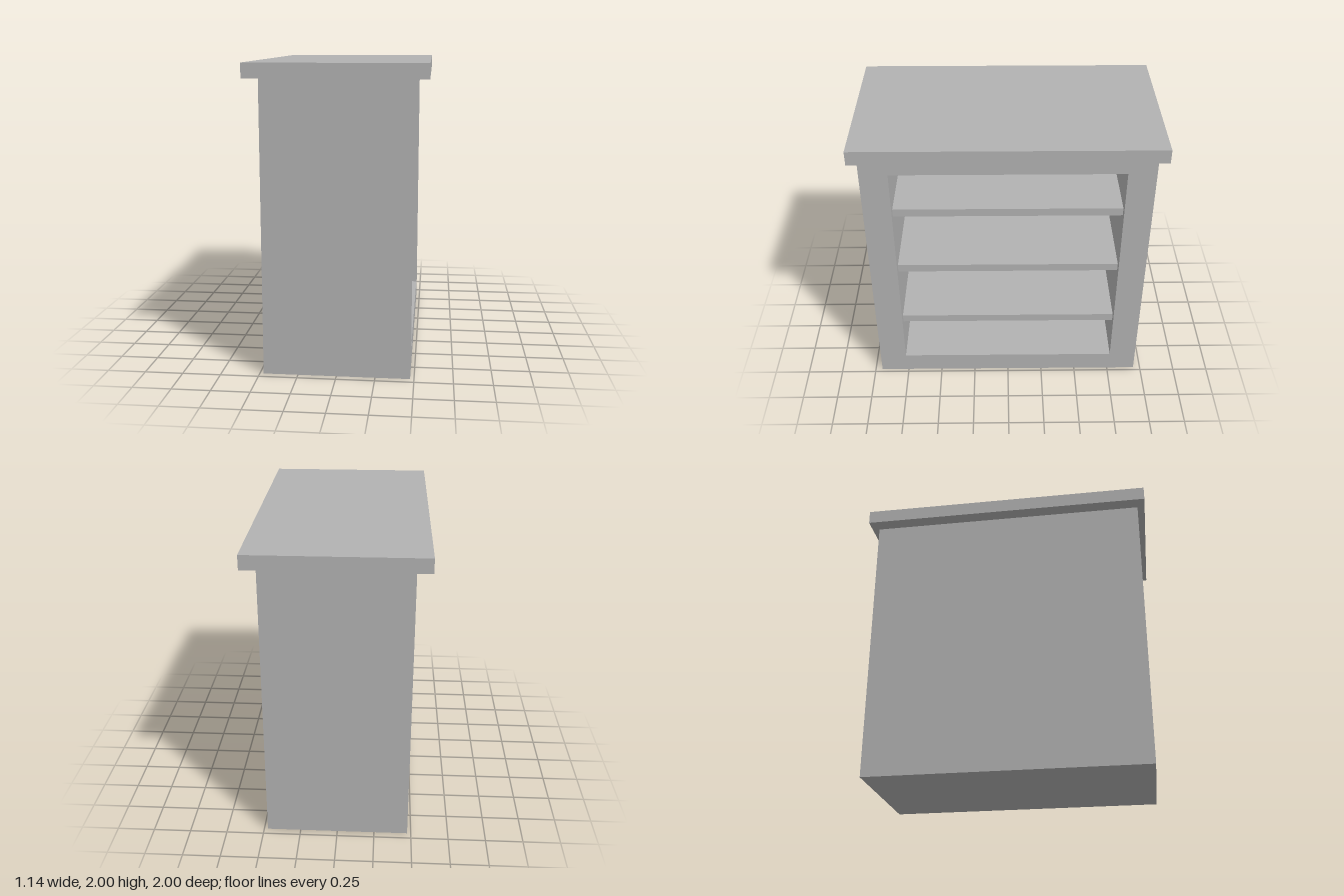
import * as THREE from 'three';

export function createModel() {
  const model = new THREE.Group();
  model.name = 'bookcase';
  const grey = new THREE.MeshStandardMaterial({ color: 0xb2b2b2 });
  grey.name = 'grey';

  const add = (name, geometry, x, y, z) => {
    const mesh = new THREE.Mesh(geometry, grey);
    mesh.name = name;
    mesh.position.set(x, y, z);
    model.add(mesh);
    return mesh;
  };
  // Box given by its ranges in x and y, centred on z
  const slab = (name, x0, x1, y0, y1, width) =>
    add(name, new THREE.BoxGeometry(x1 - x0, y1 - y0, width), (x0 + x1) / 2, (y0 + y1) / 2, 0);

  const halfDepth = 0.475, halfWidth = 0.95, bodyTop = 1.905;
  const innerHalf = 0.763, floorY = 0.145, ceilingY = 1.765;
  const backInner = -0.38;

  // Cabinet walls: a rectangular frame, open toward +x
  const frame = new THREE.Shape([
    new THREE.Vector2(-halfWidth, 0), new THREE.Vector2(halfWidth, 0),
    new THREE.Vector2(halfWidth, bodyTop), new THREE.Vector2(-halfWidth, bodyTop),
  ]);
  frame.holes.push(new THREE.Path([
    new THREE.Vector2(-innerHalf, floorY), new THREE.Vector2(-innerHalf, ceilingY),
    new THREE.Vector2(innerHalf, ceilingY), new THREE.Vector2(innerHalf, floorY),
  ]));
  const walls = new THREE.ExtrudeGeometry(frame, { depth: halfDepth - backInner, bevelEnabled: false });
  walls.rotateY(Math.PI / 2);
  add('cabinetWalls', walls, backInner, 0, 0);

  // Closed back
  slab('backPanel', -halfDepth, backInner, 0, bodyTop, halfWidth * 2);

  // Shelves, set slightly back from the opening
  [0.45, 0.927, 1.404].forEach((y, i) =>
    slab(`shelf${i + 1}`, backInner, 0.427, y, y + 0.057, innerHalf * 2));

  // Overhanging top
  slab('topBoard', -0.571, 0.571, bodyTop, 2, 2);

  return model;
}
